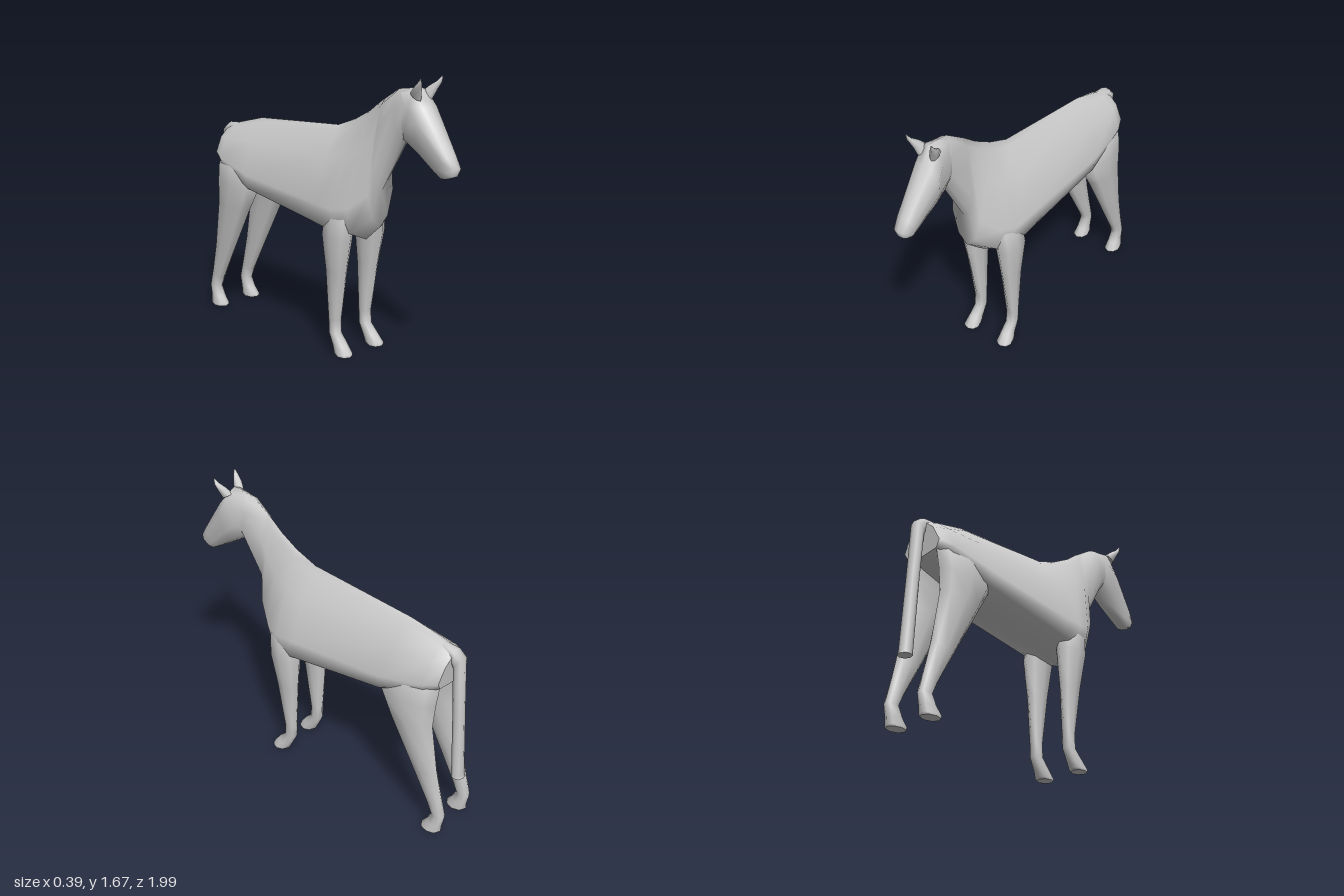
import * as THREE from 'three';

const material = new THREE.MeshStandardMaterial({ color: 0xcccccc, side: THREE.DoubleSide });

// Lofts cross-sections. Each ring runs from edge point a [z, y] to edge point b [z, y],
// with half-widths w at the fractions ts between them, mirrored about x = cx.
function loft(name, rings, ts) {
  const positions = [], index = [];
  const n = ts.length * 2 + 2;
  const loops = rings.map(({ a, b, w, cx = 0 }) => {
    const at = (t, x) => [cx + x, a[1] + (b[1] - a[1]) * t, a[0] + (b[0] - a[0]) * t];
    const side = ts.map((t, i) => at(t, w[i]));
    const other = ts.map((t, i) => at(t, -w[i])).reverse();
    return [at(0, 0), ...side, at(1, 0), ...other];
  });
  loops.forEach((loop) => loop.forEach((p) => positions.push(...p)));
  for (let r = 0; r < loops.length - 1; r++) {
    for (let i = 0; i < n; i++) {
      const j = (i + 1) % n, p = r * n, q = p + n;
      index.push(p + i, q + i, q + j, p + i, q + j, p + j);
    }
  }
  // End caps on their own vertices keep the rims crisp
  [loops[0], loops[loops.length - 1]].forEach((loop, end) => {
    const base = positions.length / 3;
    loop.forEach((p) => positions.push(...p));
    for (let i = 1; i < n - 1; i++) {
      if (end) index.push(base, base + i + 1, base + i);
      else index.push(base, base + i, base + i + 1);
    }
  });
  // Turn the faces outward if the enclosed volume comes out negative
  const v = (i) => new THREE.Vector3().fromArray(positions, index[i] * 3);
  let volume = 0;
  for (let i = 0; i < index.length; i += 3) volume += v(i).dot(v(i + 1).cross(v(i + 2)));
  if (volume < 0) index.reverse();

  const geometry = new THREE.BufferGeometry();
  geometry.setAttribute('position', new THREE.Float32BufferAttribute(positions, 3));
  geometry.setIndex(index);
  geometry.computeVertexNormals();
  const mesh = new THREE.Mesh(geometry, material);
  mesh.name = name;
  return mesh;
}

const ring = (az, ay, bz, by, w, cx) => ({ a: [az, ay], b: [bz, by], w, cx });
// Rounded limb section of half-width w
const limb = (az, ay, bz, by, cx, w) => ring(az, ay, bz, by, [w * 0.72, w, w * 0.72], cx);
const LIMB = [0.14, 0.5, 0.86];

// Trunk with a flat-sided belly, rising into a narrow neck set slightly to the right
function createBody() {
  return loft('bodyAndNeck', [
    ring(-0.885, 1.17, -0.868, 0.96, [0.03, 0.09, 0.135, 0.11]),
    ring(-0.80, 1.20, -0.79, 0.92, [0.04, 0.125, 0.172, 0.15]),
    ring(-0.58, 1.26, -0.50, 0.82, [0.03, 0.125, 0.195, 0.18]),
    ring(0.10, 1.32, 0.12, 0.72, [0.02, 0.115, 0.19, 0.175]),
    ring(0.24, 1.375, 0.24, 0.69, [0.02, 0.10, 0.193, 0.17]),
    ring(0.36, 1.44, 0.335, 0.69, [0.02, 0.08, 0.165, 0.13], -0.006),
    ring(0.44, 1.50, 0.45, 0.79, [0.025, 0.06, 0.10, 0.06], -0.01),
    ring(0.48, 1.525, 0.462, 1.0, [0.03, 0.058, 0.075, 0.035], -0.012),
    ring(0.58, 1.59, 0.64, 1.31, [0.035, 0.062, 0.07, 0.035], -0.01),
    ring(0.70, 1.61, 0.67, 1.32, [0.035, 0.062, 0.065, 0.035], -0.004),
  ], [0.06, 0.3, 0.72, 0.92]);
}

function createHead() {
  return loft('head', [
    ring(0.60, 1.59, 0.63, 1.32, [0.035, 0.058, 0.065, 0.03], -0.008),
    ring(0.725, 1.615, 0.66, 1.30, [0.05, 0.073, 0.075, 0.04], 0.002),
    ring(0.79, 1.53, 0.73, 1.255, [0.055, 0.09, 0.068, 0.035], 0.007),
    ring(0.96, 1.28, 0.86, 1.175, [0.038, 0.05, 0.048, 0.03]),
    ring(0.998, 1.22, 0.90, 1.153, [0.03, 0.045, 0.045, 0.028]),
    ring(0.982, 1.175, 0.925, 1.155, [0.02, 0.03, 0.03, 0.02]),
  ], [0.06, 0.32, 0.7, 0.95]);
}

function createFrontLeg(s, name) {
  return loft(name, [
    limb(0.33, 0.98, 0.16, 0.98, s * 0.08, 0.05),
    limb(0.345, 0.84, 0.13, 0.84, s * 0.118, 0.065),
    limb(0.335, 0.71, 0.12, 0.72, s * 0.13, 0.065),
    limb(0.295, 0.50, 0.14, 0.50, s * 0.126, 0.043),
    limb(0.24, 0.20, 0.164, 0.20, s * 0.122, 0.034),
    limb(0.245, 0.12, 0.165, 0.12, s * 0.122, 0.034),
    limb(0.295, 0.07, 0.205, 0.04, s * 0.124, 0.038),
    limb(0.338, 0.015, 0.22, 0.01, s * 0.127, 0.047),
    limb(0.335, 0, 0.235, 0, s * 0.127, 0.046),
  ], LIMB);
}

function createHindLeg(s, name) {
  return loft(name, [
    limb(-0.56, 1.08, -0.85, 1.08, s * 0.07, 0.05),
    limb(-0.50, 0.95, -0.866, 0.95, s * 0.113, 0.066),
    limb(-0.48, 0.84, -0.86, 0.86, s * 0.126, 0.067),
    limb(-0.56, 0.70, -0.85, 0.72, s * 0.13, 0.06),
    limb(-0.75, 0.36, -0.895, 0.42, s * 0.126, 0.041),
    limb(-0.85, 0.18, -0.935, 0.24, s * 0.124, 0.033),
    limb(-0.88, 0.12, -0.965, 0.12, s * 0.124, 0.033),
    limb(-0.85, 0.06, -0.95, 0.05, s * 0.125, 0.038),
    limb(-0.815, 0.015, -0.948, 0.01, s * 0.127, 0.046),
    limb(-0.82, 0, -0.94, 0, s * 0.127, 0.045),
  ], LIMB);
}

function createTail() {
  return loft('tail', [
    limb(-0.78, 1.20, -0.79, 1.14, 0, 0.03),
    limb(-0.89, 1.19, -0.87, 1.10, 0, 0.042),
    limb(-0.94, 1.15, -0.88, 1.07, 0, 0.042),
    limb(-0.962, 0.80, -0.895, 0.80, 0, 0.038),
    limb(-0.988, 0.37, -0.918, 0.36, 0, 0.04),
    limb(-0.995, 0.352, -0.918, 0.35, 0, 0.042),
  ], LIMB);
}

// Pointed ear leaning out and forward
function createEar(s, name) {
  return loft(name, [
    limb(0.765, 1.55, 0.70, 1.59, s * 0.045, 0.025),
    limb(0.778, 1.595, 0.735, 1.622, s * 0.062, 0.025),
    limb(0.797, 1.64, 0.775, 1.648, s * 0.078, 0.017),
    limb(0.803, 1.672, 0.797, 1.675, s * 0.084, 0.004),
  ], LIMB);
}

export function createModel() {
  const group = new THREE.Group();
  group.name = 'horse';
  group.add(createBody(), createHead(), createTail());
  for (const [s, side] of [[1, 'Left'], [-1, 'Right']]) {
    group.add(
      createFrontLeg(s, `frontLeg${side}`),
      createHindLeg(s, `hindLeg${side}`),
      createEar(s, `ear${side}`),
    );
  }
  return group;
}
